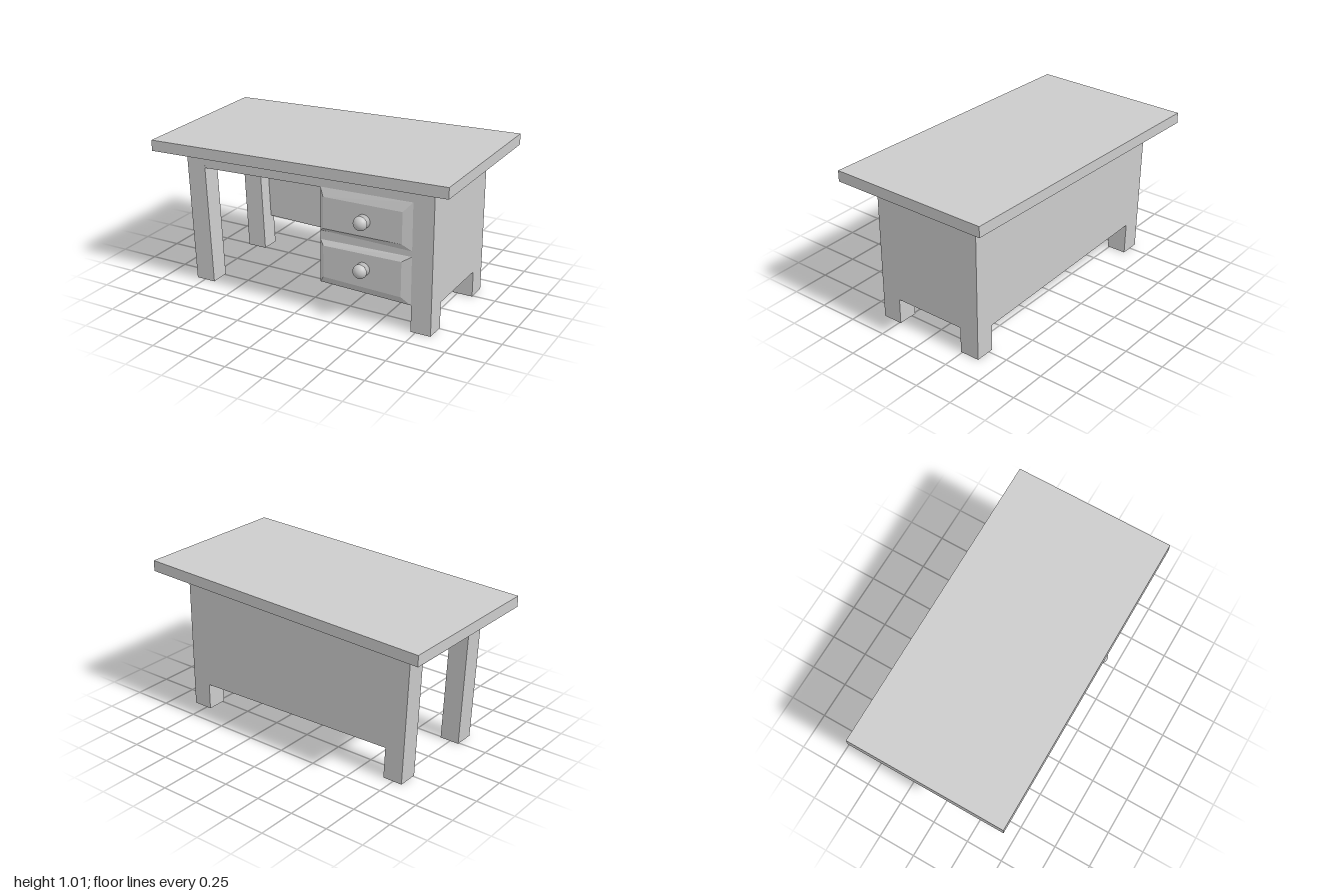
import * as THREE from 'three';

const material = new THREE.MeshStandardMaterial({ color: 0xcccccc, flatShading: true });
const smooth = new THREE.MeshStandardMaterial({ color: 0xcccccc });

// Height of the sloping underside of the table top at x
const under = (x) => 0.9125 + 0.0325 * x;

// Extrudes an outline in x, y between two z values
function slab(name, points, z0, z1) {
  const shape = new THREE.Shape(points.map(([x, y]) => new THREE.Vector2(x, y)));
  const geometry = new THREE.ExtrudeGeometry(shape, { depth: z1 - z0, bevelEnabled: false });
  geometry.translate(0, 0, z0);
  const mesh = new THREE.Mesh(geometry, material);
  mesh.name = name;
  return mesh;
}

// Raised panel: outer four corners at z0, inner four corners at z1 (counter-clockwise)
function raisedPanel(name, outer, inner, z0, z1) {
  const a = outer.map(([x, y]) => [x, y, z0]);
  const b = inner.map(([x, y]) => [x, y, z1]);
  const positions = [];
  const quad = (p, q, r, s) => positions.push(...p, ...q, ...r, ...p, ...r, ...s);
  for (let i = 0; i < 4; i++) {
    const j = (i + 1) % 4;
    quad(a[i], a[j], b[j], b[i]);
  }
  quad(b[0], b[1], b[2], b[3]);
  const geometry = new THREE.BufferGeometry();
  geometry.setAttribute('position', new THREE.Float32BufferAttribute(positions, 3));
  geometry.computeVertexNormals();
  const mesh = new THREE.Mesh(geometry, material);
  mesh.name = name;
  return mesh;
}

// Turned knob: flared base, thin stem and mushroom head
function knob(x, y) {
  const group = new THREE.Group();
  group.name = 'drawerKnob';
  const base = new THREE.CylinderGeometry(0.024, 0.046, 0.016, 24);
  base.translate(0, 0.008, 0);
  const stem = new THREE.CylinderGeometry(0.02, 0.02, 0.045, 24);
  stem.translate(0, 0.025, 0);
  const head = new THREE.SphereGeometry(0.045, 24, 10, 0, Math.PI * 2, 0, Math.PI / 2);
  head.scale(1, 0.9, 1);
  head.translate(0, 0.041, 0);
  const back = new THREE.CircleGeometry(0.045, 24);
  back.rotateX(Math.PI / 2);
  back.translate(0, 0.041, 0);
  for (const [name, g] of [['knobBase', base], ['knobStem', stem], ['knobHead', head], ['knobHeadBack', back]]) {
    const mesh = new THREE.Mesh(g, smooth);
    mesh.name = name;
    group.add(mesh);
  }
  group.rotation.x = Math.PI / 2;
  group.position.set(x, y, 0.388);
  return group;
}

export function createModel() {
  const desk = new THREE.Group();
  desk.name = 'desk';
  const depth = 0.37;
  const leg = 0.13;
  const board = 0.035;

  // Tilted table top
  desk.add(slab('tableTop', [[-1, 0.88], [1, 0.945], [1, 1.015], [-1, 0.95]], -0.523, 0.523));

  // Splayed left legs and short right legs
  for (const [z0, z1] of [[depth - leg, depth], [-depth, leg - depth]]) {
    desk.add(slab('leftLeg', [[-0.81, 0], [-0.68, 0], [-0.722, under(-0.722)], [-0.85, under(-0.85)]], z0, z1));
    desk.add(slab('rightLeg', [[0.72, 0], [0.85, 0], [0.85, 0.17], [0.72, 0.173]], z0, z1));
  }

  // Drawer cabinet
  desk.add(slab('cabinet', [[0.11, 0.187], [0.85, 0.17], [0.85, under(0.85)], [0.11, under(0.11)]], -depth, depth));

  // Back panel and the aprons around the knee space
  desk.add(slab('backPanel', [[-0.692, 0.205], [0.11, 0.187], [0.11, under(0.11)], [-0.722, under(-0.722)]], -depth, board - depth));
  desk.add(slab('frontApron', [[-0.716, 0.77], [0.11, 0.8], [0.11, under(0.11)], [-0.722, under(-0.722)]], depth - board, depth));
  desk.add(slab('sideApron', [[-0.845, 0.77], [-0.81, 0.77], [-0.815, under(-0.815)], [-0.85, under(-0.85)]], leg - depth, depth - leg));

  // Bevelled drawer fronts with knobs
  desk.add(raisedPanel('upperDrawer',
    [[0.11, 0.525], [0.717, 0.518], [0.717, 0.82], [0.11, 0.802]],
    [[0.14, 0.548], [0.66, 0.556], [0.66, 0.757], [0.14, 0.75]], depth, 0.39));
  desk.add(raisedPanel('lowerDrawer',
    [[0.11, 0.187], [0.717, 0.173], [0.717, 0.483], [0.11, 0.467]],
    [[0.14, 0.232], [0.66, 0.22], [0.66, 0.446], [0.14, 0.437]], depth, 0.39));
  desk.add(knob(0.41, 0.65), knob(0.41, 0.345));

  return desk;
}
